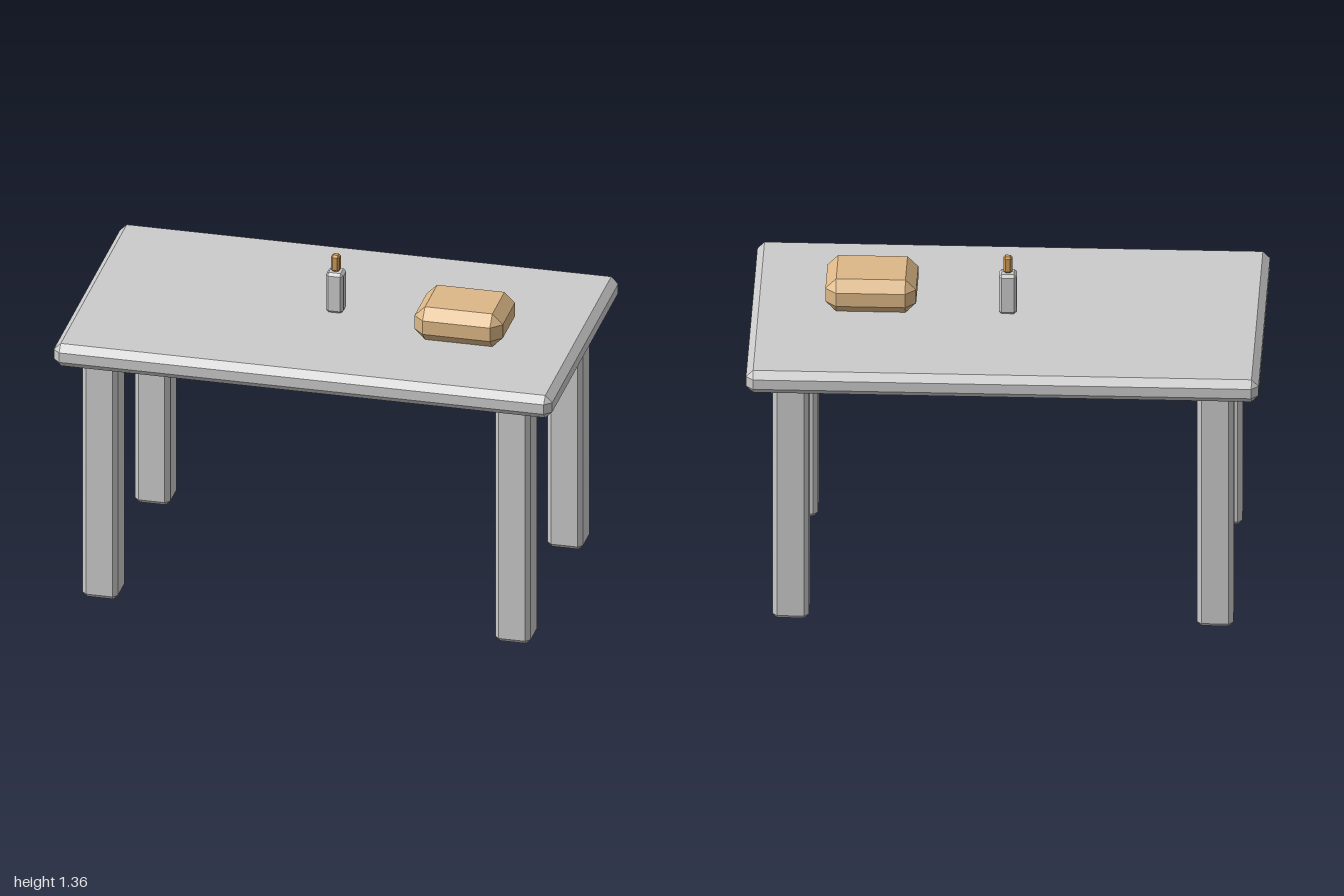
import * as THREE from 'three';
import { ConvexGeometry } from 'three/addons/geometries/ConvexGeometry.js';

const grey = new THREE.MeshStandardMaterial({ color: 0xcccccc, flatShading: true });
const crust = new THREE.MeshStandardMaterial({ color: 0xdeb887, flatShading: true });
const cork = new THREE.MeshStandardMaterial({ color: 0xcd9a55, flatShading: true });

// Box with one flat chamfer on every edge and a triangle at every corner
function chamferBox(name, [w, h, d], bevel, [x, bottom, z], material) {
  const half = [w / 2, h / 2, d / 2];
  const points = [];
  for (const sx of [-1, 1]) for (const sy of [-1, 1]) for (const sz of [-1, 1]) {
    for (let axis = 0; axis < 3; axis++) {
      const p = half.map((v, i) => (i === axis ? v : v - bevel));
      points.push(new THREE.Vector3(sx * p[0], sy * p[1], sz * p[2]));
    }
  }
  const mesh = new THREE.Mesh(new ConvexGeometry(points), material);
  mesh.name = name;
  mesh.position.set(x, bottom + h / 2, z);
  return mesh;
}

export function createModel() {
  const model = new THREE.Group();
  model.name = 'table';
  const legHeight = 1.018;
  const topY = 1.115;

  // Table top
  model.add(chamferBox('tableTop', [2, topY - legHeight, 1.14], 0.028, [0, legHeight, 0], grey));

  // Four legs
  for (const sx of [-1, 1]) for (const sz of [-1, 1]) {
    const name = (sz > 0 ? 'front' : 'back') + (sx > 0 ? 'Left' : 'Right') + 'Leg';
    model.add(chamferBox(name, [0.142, legHeight, 0.142], 0.018, [sx * 0.828, 0, sz * 0.43], grey));
  }

  // Bread loaf
  model.add(chamferBox('breadLoaf', [0.354, 0.142, 0.284], 0.042, [0.534, topY, 0.071], crust));

  // Bottle with its cork
  const bottle = new THREE.Group();
  bottle.name = 'bottle';
  bottle.add(chamferBox('bottleBody', [0.07, 0.172, 0.07], 0.011, [0, topY, 0], grey));
  bottle.add(chamferBox('bottleCork', [0.034, 0.071, 0.034], 0.008, [0, topY + 0.171, 0], cork));
  model.add(bottle);

  return model;
}
